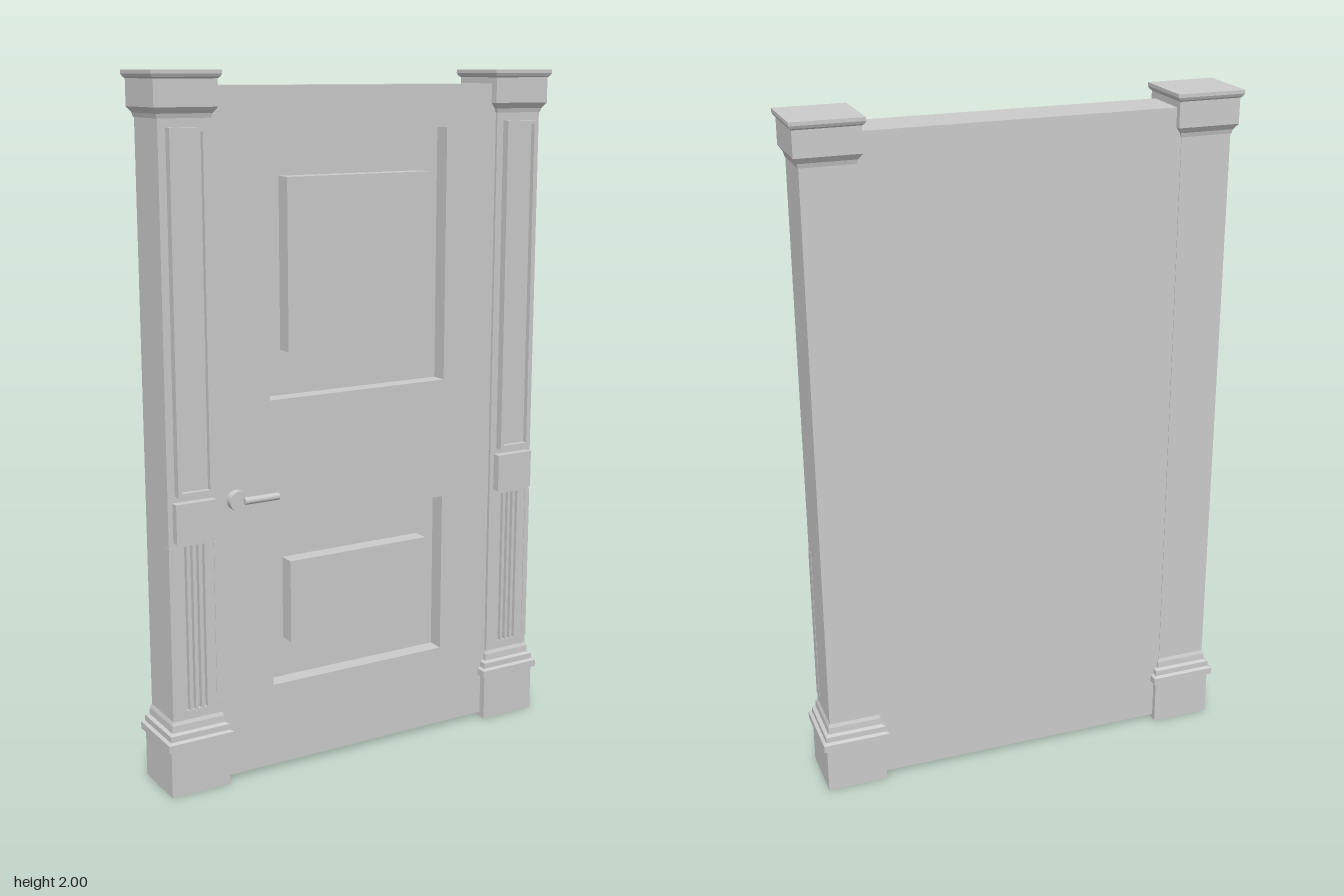
import * as THREE from 'three';

const material = new THREE.MeshStandardMaterial({ color: 0xcccccc, flatShading: true });
const smooth = new THREE.MeshStandardMaterial({ color: 0xcccccc });

function add(parent, name, geometry, x = 0, y = 0, z = 0, mat = material) {
  const mesh = new THREE.Mesh(geometry, mat);
  mesh.name = name;
  mesh.position.set(x, y, z);
  parent.add(mesh);
  return mesh;
}

// Box given by its limits on each axis
function block(parent, name, x0, x1, y0, y1, z0, z1) {
  return add(parent, name, new THREE.BoxGeometry(x1 - x0, y1 - y0, z1 - z0),
    (x0 + x1) / 2, (y0 + y1) / 2, (z0 + z1) / 2);
}

function rectangle(path, x0, x1, y0, y1) {
  path.moveTo(x0, y0);
  path.lineTo(x1, y0);
  path.lineTo(x1, y1);
  path.lineTo(x0, y1);
  path.closePath();
  return path;
}

// Slab facing +z, pierced by rectangular openings [x0, x1, y0, y1]
function pierced(outer, openings, depth) {
  const shape = rectangle(new THREE.Shape(), ...outer);
  for (const o of openings) shape.holes.push(rectangle(new THREE.Path(), ...o));
  return new THREE.ExtrudeGeometry(shape, { depth, bevelEnabled: false });
}

// Square moulding from [half width, height] pairs, bottom to top
function squareMoulding(profile) {
  const points = profile.map(([w, y]) => new THREE.Vector2(w * Math.SQRT2, y));
  return new THREE.LatheGeometry(points, 4, Math.PI / 4);
}

// Shaft section with vertical grooves cut into its front
function flutedShaft(half, height) {
  const s = new THREE.Shape();
  const w = 0.0045, depth = 0.016;
  s.moveTo(-half, -half);
  for (const c of [-0.027, -0.009, 0.009, 0.027]) {
    s.lineTo(c - w, -half);
    s.lineTo(c - w, -half + depth);
    s.lineTo(c + w, -half + depth);
    s.lineTo(c + w, -half);
  }
  s.lineTo(half, -half);
  s.lineTo(half, half);
  s.lineTo(-half, half);
  s.closePath();
  return new THREE.ExtrudeGeometry(s, { depth: height, bevelEnabled: false }).rotateX(-Math.PI / 2);
}

function createPillar() {
  const pillar = new THREE.Group();
  const h = 0.075;

  // Plinth and stepped base moulding
  add(pillar, 'pillarBase', squareMoulding([
    [0, 0], [0.09, 0], [0.09, 0.138], [0.1, 0.142], [0.1, 0.163], [0.091, 0.168],
    [0.091, 0.185], [0.081, 0.19], [0.08, 0.21], [0.076, 0.22], [0, 0.22],
  ]));

  // Shaft: plain foot, fluted lower part, plain upper part
  block(pillar, 'shaftFoot', -h, h, 0.2, 0.245, -h, h);
  add(pillar, 'flutedShaft', flutedShaft(h, 0.482), 0, 0.245, 0);
  block(pillar, 'upperShaft', -h, h, 0.727, 1.9, -h, h);

  // Thin strips along the front corners of the fluted part
  for (const s of [-1, 1]) {
    block(pillar, 'cornerStrip', s * 0.068 - 0.008, s * 0.068 + 0.008, 0.245, 0.727, 0.045, 0.077);
  }

  // Square block between the fluting and the long panel
  block(pillar, 'middleBlock', -0.061, 0.061, 0.743, 0.855, 0.07, 0.1);

  // Long framed panel
  add(pillar, 'panelFrame', pierced([-0.053, 0.053, 0.873, 1.855], [[-0.042, 0.042, 0.884, 1.844]], 0.03),
    0, 0, 0.069);
  block(pillar, 'panelField', -0.043, 0.043, 0.883, 1.845, 0.07, 0.084);

  // Capital with flared underside and top plate
  add(pillar, 'capital', squareMoulding([
    [0, 1.878], [0.077, 1.878], [0.08, 1.89], [0.091, 1.906], [0.091, 1.978],
    [0.096, 1.982], [0.1, 1.99], [0.1, 2], [0, 2],
  ]));
  return pillar;
}

function createDoor() {
  const door = new THREE.Group();
  door.name = 'door';
  const x = 0.462, bottom = 0.015, top = 1.96, back = -0.076, floor = 0.014, front = 0.064;
  const recesses = [[-0.29, 0.29, 0.262, 0.746], [-0.29, 0.29, 1.105, 1.84]];
  const panels = [[-0.23, 0.23, 0.381, 0.627], [-0.23, 0.23, 1.235, 1.717]];

  block(door, 'doorBack', -x, x, bottom, top, back, floor);
  add(door, 'doorFront', pierced([-x, x, bottom, top], recesses, front - floor), 0, 0, floor);
  for (const p of panels) block(door, 'raisedPanel', ...p, floor - 0.005, front);

  // Handle: round rosette and horizontal lever
  const rosette = new THREE.CylinderGeometry(0.029, 0.029, 0.026, 24).rotateX(Math.PI / 2);
  add(door, 'handleRosette', rosette, -0.4, 0.836, 0.075, smooth);
  const lever = new THREE.CylinderGeometry(0.0105, 0.0105, 0.107, 20).rotateZ(Math.PI / 2);
  add(door, 'handleLever', lever, -0.335, 0.836, 0.0925, smooth);
  return door;
}

export function createModel() {
  const model = new THREE.Group();
  model.name = 'panelDoorWithPillars';
  model.add(createDoor());
  for (const side of [-1, 1]) {
    const pillar = createPillar();
    pillar.name = side < 0 ? 'rightPillar' : 'leftPillar';
    pillar.position.set(side * 0.535, 0, -0.003);
    model.add(pillar);
  }
  return model;
}
